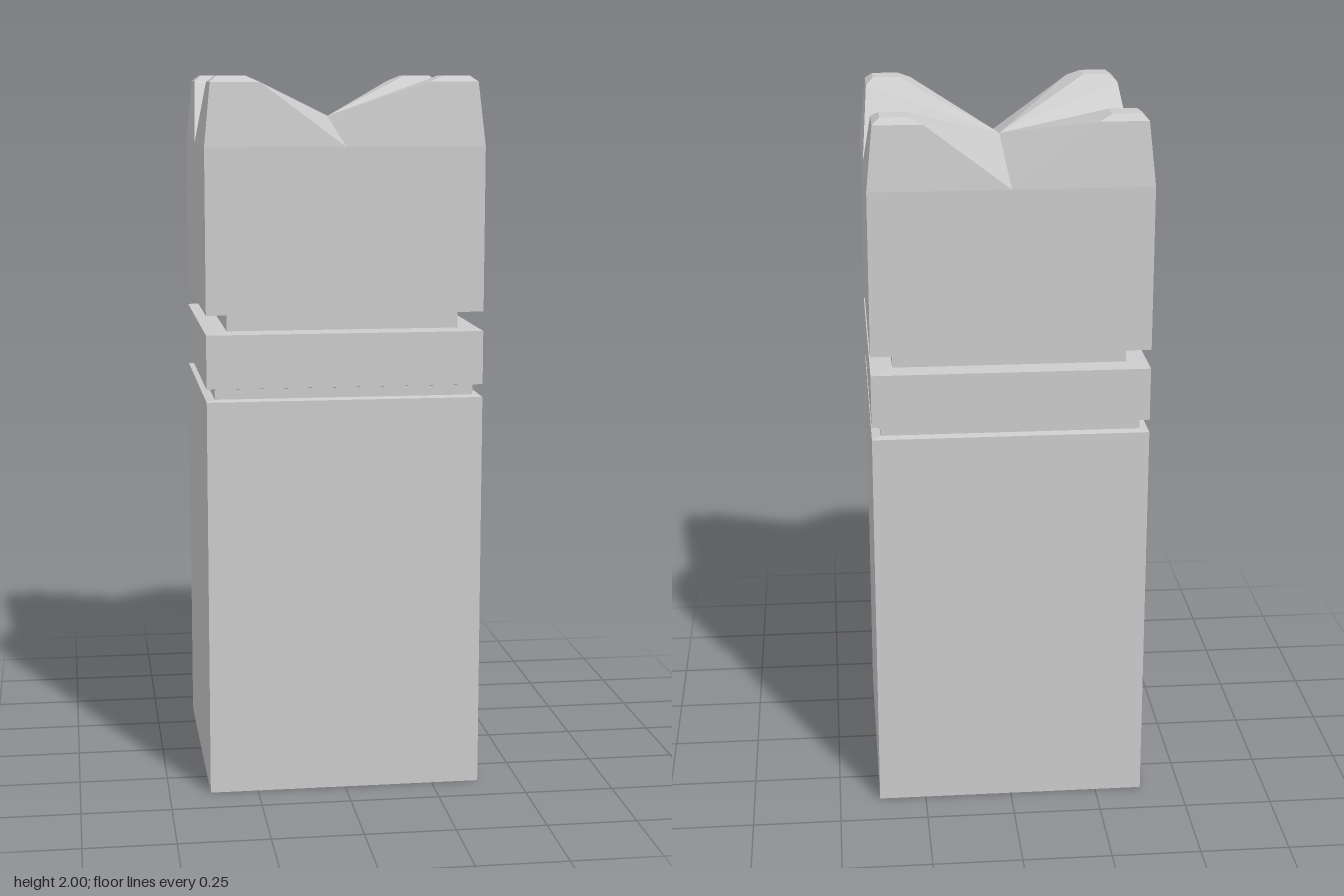
import * as THREE from 'three';

const material = new THREE.MeshStandardMaterial({ color: 0xcccccc, flatShading: true });

// Square column from a [half width, height] profile
function squareColumn(profile) {
  const points = profile.map(([w, y]) => new THREE.Vector2(w * Math.SQRT2, y));
  const g = new THREE.LatheGeometry(points, 4, Math.PI / 4).toNonIndexed();
  g.computeVertexNormals();
  return g;
}

// Notched crown: one eighth of the top, mirrored over both axes and the diagonal
function crownGeometry(half, base) {
  const rim = 1.983, top = 2;
  const p = {
    centre: [0, 1.885, 0],
    notch: [0, base, half],
    corner: [half, base, half],
    inner: [0.232, rim, 0.232],
    side: [0.232, rim, 0.366],
    outer: [0.366, rim, 0.366],
    topInner: [0.27, top, 0.27],
    topSide: [0.27, top, 0.345],
    topOuter: [0.345, top, 0.345],
  };
  const faces = [
    // valley
    [p.centre, p.notch, p.side], [p.centre, p.side, p.inner],
    // bevels round the corner peak
    [p.inner, p.side, p.topSide], [p.inner, p.topSide, p.topInner],
    [p.side, p.outer, p.topOuter], [p.side, p.topOuter, p.topSide],
    // flat peak
    [p.topInner, p.topSide, p.topOuter],
    // tapered outside
    [p.notch, p.corner, p.outer], [p.notch, p.outer, p.side],
  ];
  const positions = [];
  for (const sx of [1, -1]) for (const sz of [1, -1]) for (const swap of [false, true]) {
    const flip = (sx * sz < 0) !== swap;
    for (const face of faces) {
      for (const [x, y, z] of flip ? [...face].reverse() : face) {
        positions.push(sx * (swap ? z : x), y, sz * (swap ? x : z));
      }
    }
  }
  const g = new THREE.BufferGeometry();
  g.setAttribute('position', new THREE.Float32BufferAttribute(positions, 3));
  g.computeVertexNormals();
  return g;
}

export function createModel() {
  const group = new THREE.Group();
  group.name = 'post';
  const half = 0.384, shoulder = 1.81;

  // Post with two grooves below the head
  const post = new THREE.Mesh(squareColumn([
    [0, 0], [half, 0],
    [half, 1.118], [0.36, 1.122], [0.36, 1.15], [half, 1.154],
    [half, 1.303], [0.323, 1.306], [0.323, 1.35], [half, 1.357],
    [half, shoulder],
  ]), material);
  post.name = 'groovedPost';

  const crown = new THREE.Mesh(crownGeometry(half, shoulder), material);
  crown.name = 'notchedCrown';

  group.add(post, crown);
  return group;
}
